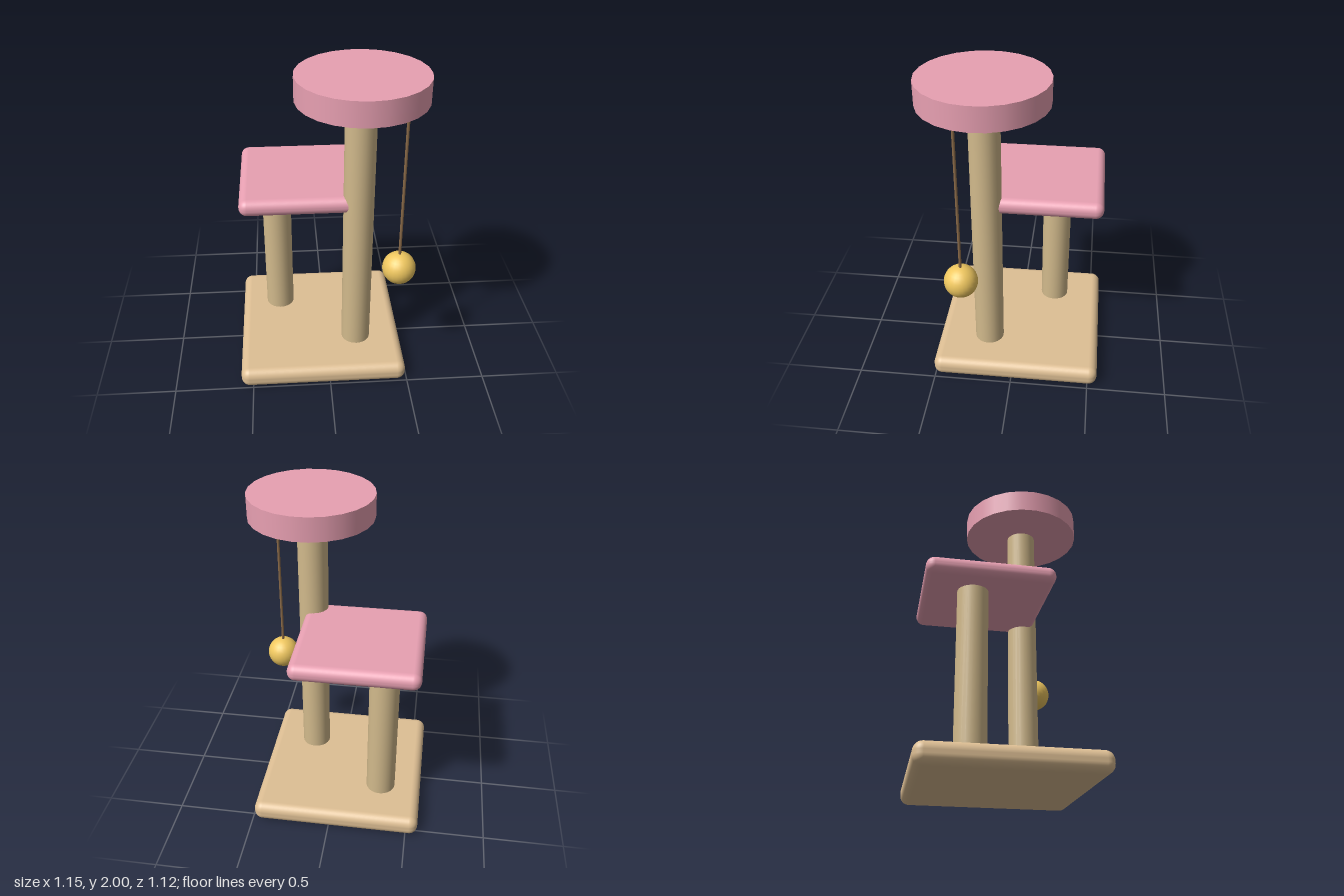
import * as THREE from 'three';
import { RoundedBoxGeometry } from 'three/addons/geometries/RoundedBoxGeometry.js';

const paint = (color) => new THREE.MeshStandardMaterial({ color });

export function createModel() {
  const model = new THREE.Group();
  const pink = paint(0xe8a0b2);
  const wood = paint(0xdebf94);
  const rope = paint(0xd2ba8c);
  const cord = paint(0x8a6a48);
  const yellow = paint(0xf0c860);

  const add = (name, geometry, material, x, y, z) => {
    const mesh = new THREE.Mesh(geometry, material);
    mesh.name = name;
    mesh.position.set(x, y, z);
    model.add(mesh);
  };

  // Upright cylinder standing between two heights
  const column = (name, radius, bottom, top, x, z, material, sides) =>
    add(name, new THREE.CylinderGeometry(radius, radius, top - bottom, sides),
      material, x, (bottom + top) / 2, z);

  // Rounded base board and padded middle platform
  add('base', new RoundedBoxGeometry(1.065, 0.13, 1.07, 5, 0.055), wood, -0.043, 0.065, -0.025);
  add('platform', new RoundedBoxGeometry(0.77, 0.106, 0.77, 5, 0.05), pink, -0.15, 1.178, -0.15);

  // Posts
  column('tallPost', 0.094, 0.1, 1.87, 0.19, 0.173, rope, 25);
  column('shortPost', 0.094, 0.1, 1.15, -0.311, -0.235, rope, 25);

  // Round top perch
  column('topPerch', 0.383, 1.852, 2, 0.192, 0.172, pink, 25);

  // Hanging toy
  column('toyString', 0.009, 0.85, 1.87, 0.435, 0.302, cord, 8);
  add('toyBall', new THREE.SphereGeometry(0.104, 24, 16), yellow, 0.435, 0.775, 0.302);

  return model;
}
